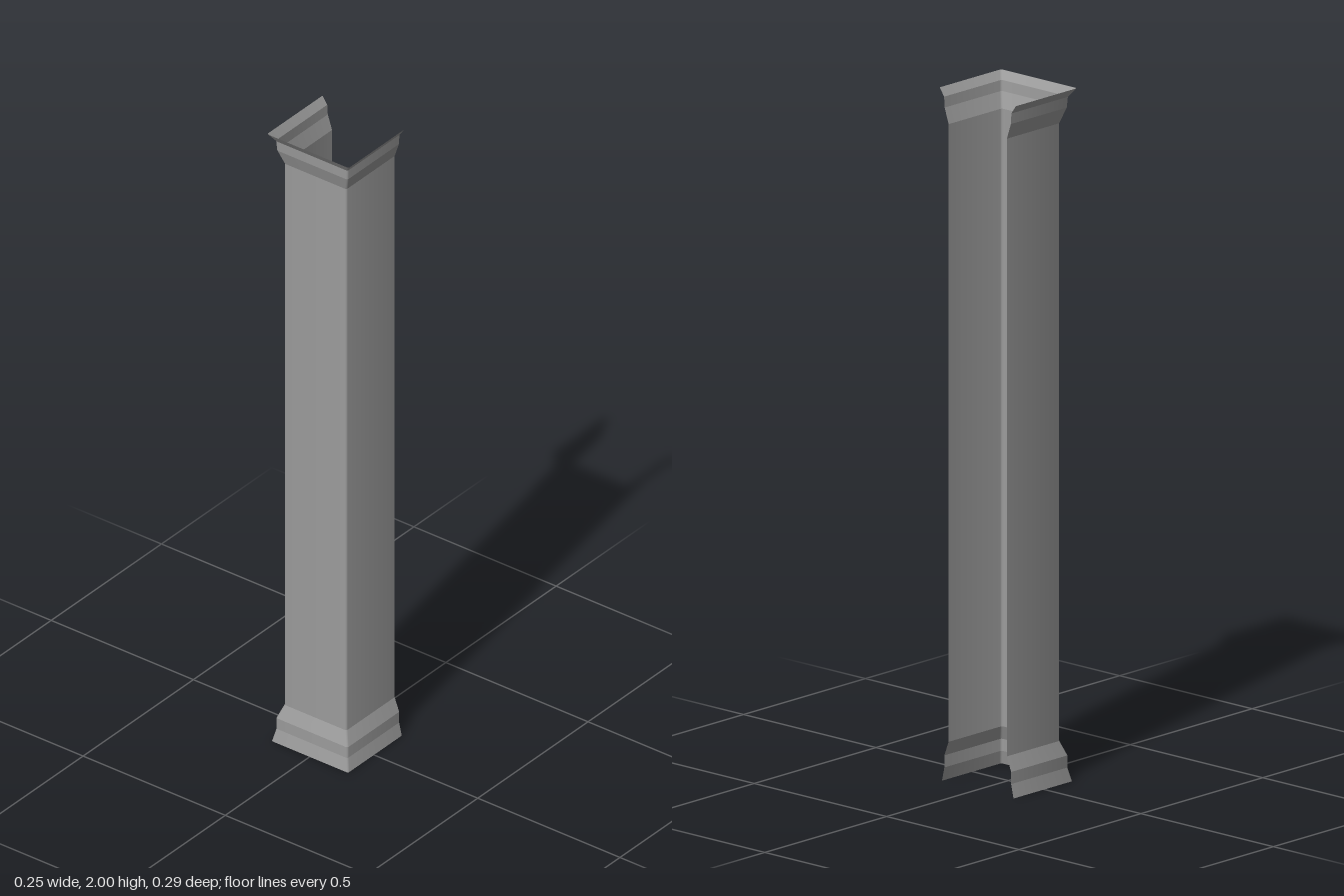
import * as THREE from 'three';

const material = new THREE.MeshStandardMaterial({ color: 0x9c9c9c, side: THREE.DoubleSide });

// Three-sided plan, open toward +x, with small rounded corners; d pushes it outward.
// Each row is [x, z, heading of the normal]; headings blend softly around the corners.
function plan(d) {
  const x = -0.0925 - d, z = 0.11 + d, end = 0.126;
  const radius = 0.006, steps = 4, tilt = Math.PI / 18;
  const rows = [[end, z, Math.PI / 2]];
  for (const side of [1, -1]) {
    const start = side > 0 ? Math.PI / 2 : Math.PI;
    for (let i = 0; i <= steps; i++) {
      const t = i / steps, angle = start + t * Math.PI / 2;
      rows.push([
        x + radius + radius * Math.cos(angle),
        side * (z - radius) + radius * Math.sin(angle),
        start + tilt + t * (Math.PI / 2 - 2 * tilt),
      ]);
    }
  }
  rows.push([end, -z, Math.PI * 1.5]);
  return rows;
}

// Thin sheet skinned through a profile of [height, outward offset] rows:
// every band is crisp against its neighbours and smooth around the corners
function sheet(name, profile) {
  const positions = [], normals = [], index = [];
  for (let r = 0; r < profile.length - 1; r++) {
    const band = [profile[r], profile[r + 1]];
    const slope = Math.atan2(band[0][1] - band[1][1], band[1][0] - band[0][0]);
    const first = positions.length / 3, n = plan(0).length;
    for (const [y, d] of band) {
      for (const [x, z, heading] of plan(d)) {
        positions.push(x, y, z);
        normals.push(
          Math.cos(heading) * Math.cos(slope), Math.sin(slope),
          Math.sin(heading) * Math.cos(slope),
        );
      }
    }
    for (let i = 0; i < n - 1; i++) {
      const a = first + i, b = a + 1, c = a + n, e = c + 1;
      index.push(a, c, b, b, c, e);
    }
  }
  const geometry = new THREE.BufferGeometry();
  geometry.setAttribute('position', new THREE.Float32BufferAttribute(positions, 3));
  geometry.setAttribute('normal', new THREE.Float32BufferAttribute(normals, 3));
  geometry.setIndex(index);
  const mesh = new THREE.Mesh(geometry, material);
  mesh.name = name;
  return mesh;
}

export function createModel() {
  const group = new THREE.Group();
  group.name = 'pilaster';
  group.add(
    // Stepped, flared foot
    sheet('base', [[0, 0.025], [0.04, 0.016], [0.075, 0.016], [0.117, 0]]),
    // Plain tall shaft
    sheet('shaft', [[0.117, 0], [1.9, 0]]),
    // Moulded top with a wide lip
    sheet('capital', [[1.9, 0], [1.945, 0.015], [1.976, 0.017], [2, 0.0335]]),
  );
  return group;
}
